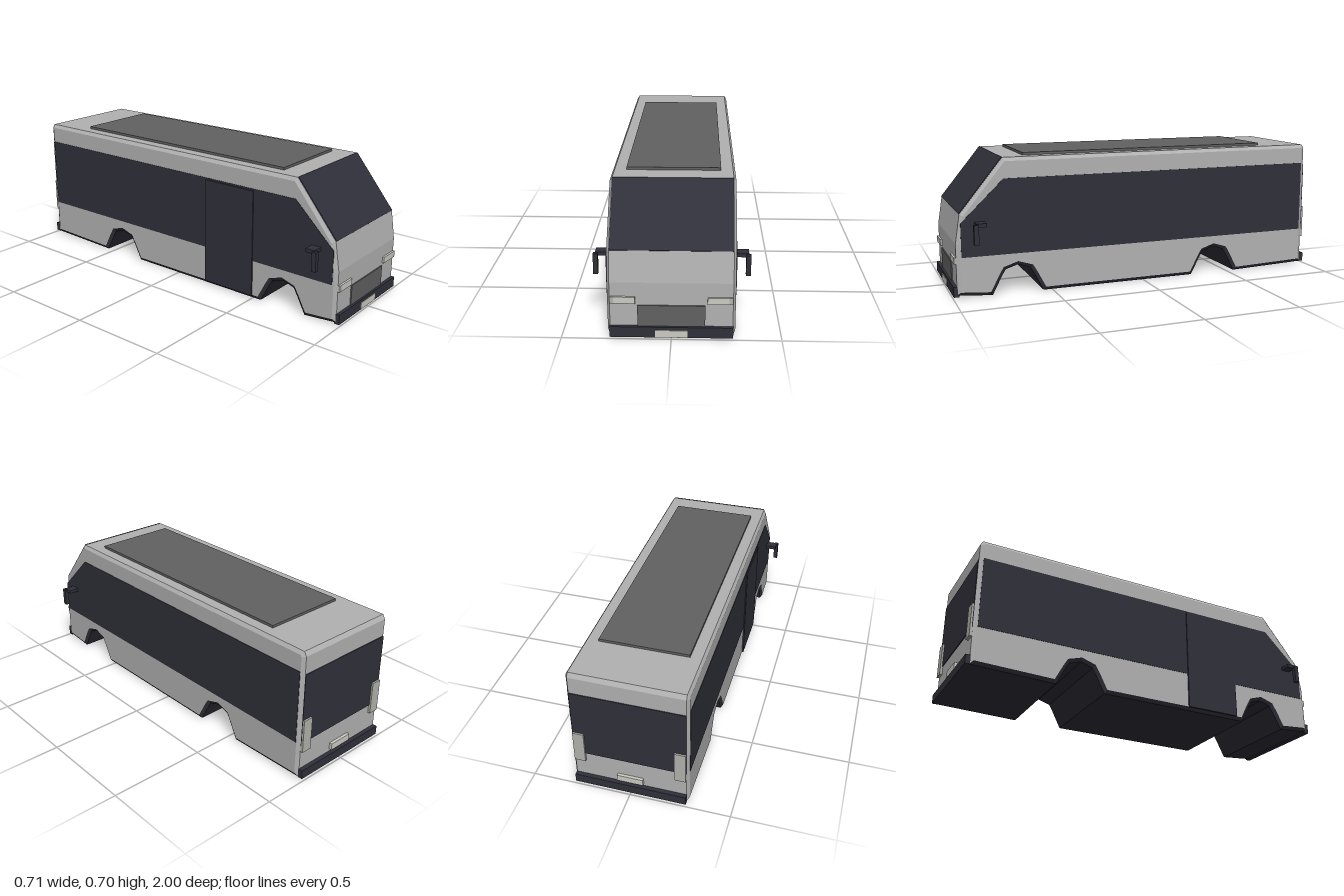
import * as THREE from 'three';

const paint = (name, color) => Object.assign(new THREE.MeshStandardMaterial({ color }), { name });

export function createModel() {
  const silver = paint('silver body', 0xb2b2b2);
  const dark = paint('dark glass and trim', 0x30303a);
  const grey = paint('grey panel', 0x616161);
  const pale = paint('pale lamp', 0xcbcbc3);
  const lampGrey = paint('grey lamp', 0xb3b3ad);

  const bus = new THREE.Group();
  bus.name = 'bus';

  const add = (name, geometry, material, parent = bus) => {
    const mesh = new THREE.Mesh(geometry, material);
    mesh.name = name;
    parent.add(mesh);
    return mesh;
  };

  // Box given by its limits on each axis
  const box = (name, material, [x0, x1], [y0, y1], [z0, z1], parent = bus) => {
    const g = new THREE.BoxGeometry(x1 - x0, y1 - y0, z1 - z0);
    g.translate((x0 + x1) / 2, (y0 + y1) / 2, (z0 + z1) / 2);
    return add(name, g, material, parent);
  };

  // Side profile of [z, y] points, extruded across x
  const profile = (points, x0, x1, bevel = {}) => {
    const shape = new THREE.Shape(points.map(([z, y]) => new THREE.Vector2(-z, y)));
    const g = new THREE.ExtrudeGeometry(shape, { depth: x1 - x0, bevelEnabled: false, ...bevel });
    return g.rotateY(Math.PI / 2).translate(x0, 0, 0);
  };

  // Body shell with open wheel arches and chamfered sides
  const arch = c => [[0.13, 0.003], [0.085, 0.09], [0.063, 0.128], [0, 0.148],
    [-0.063, 0.128], [-0.085, 0.09], [-0.13, 0.003]].map(([z, y]) => [c + z, y]);
  const outline = [
    [0.98, 0.018], ...arch(0.675), ...arch(-0.415), [-0.975, 0.015],
    [-0.975, 0.665], [-0.962, 0.687], [0.74, 0.687], [0.957, 0.42], [0.98, 0.275],
  ];
  const shell = profile(outline, -0.278, 0.278, {
    bevelEnabled: true, bevelSegments: 1, bevelThickness: 0.012, bevelSize: 0.018, bevelOffset: -0.018,
  });

  // Downward faces become the dark underside, the rest the silver body
  const pos = shell.attributes.position;
  const halves = [[], []];
  const tri = new THREE.Triangle();
  const normal = new THREE.Vector3();
  for (let i = 0; i < pos.count; i += 3) {
    tri.setFromAttributeAndIndices(pos, i, i + 1, i + 2).getNormal(normal);
    const half = halves[normal.y < -0.1 ? 1 : 0];
    for (const v of [tri.a, tri.b, tri.c]) half.push(v.x, v.y, v.z);
  }
  halves.forEach((data, i) => {
    const g = new THREE.BufferGeometry();
    g.setAttribute('position', new THREE.Float32BufferAttribute(data, 3));
    g.computeVertexNormals();
    add(i ? 'underside' : 'body', g, i ? dark : silver);
  });

  // Glazing
  const sideGlass = [[0.955, 0.208], [-0.955, 0.208], [-0.955, 0.585], [0.74, 0.585], [0.955, 0.378]];
  add('leftWindows', profile(sideGlass, 0.288, 0.292), dark);
  add('rightWindows', profile(sideGlass, -0.292, -0.288), dark);
  add('windshield', profile([[0.957, 0.42], [0.74, 0.687], [0.743, 0.6895], [0.96, 0.4225]], -0.276, 0.276), dark);
  box('rearWindow', dark, [-0.278, 0.278], [0.205, 0.575], [-0.979, -0.973]);

  // Passenger door on the right side
  box('door', dark, [-0.298, -0.285], [0.02, 0.576], [0.2, 0.5]);

  // Roof unit
  box('roofUnit', grey, [-0.222, 0.222], [0.68, 0.7], [-0.715, 0.625]);

  // Bumpers, grille and number plates
  box('frontBumper', dark, [-0.28, 0.28], [0.01, 0.062], [0.97, 0.997]);
  box('rearBumper', dark, [-0.28, 0.28], [0.015, 0.062], [-0.997, -0.97]);
  box('grille', grey, [-0.153, 0.153], [0.06, 0.165], [0.975, 0.986]);
  box('frontPlate', pale, [-0.073, 0.073], [0.012, 0.047], [0.994, 1]);
  box('rearPlate', pale, [-0.065, 0.065], [0.075, 0.11], [-0.99, -0.972]);

  // Lamps and mirrors, one set per side
  for (const [side, s] of [['left', 1], ['right', -1]]) {
    const span = (a, b) => (s > 0 ? [a, b] : [-b, -a]);
    box(side + 'Headlight', pale, span(0.163, 0.259), [0.175, 0.207], [0.975, 0.99]);
    box(side + 'Indicator', lampGrey, span(0.259, 0.277), [0.175, 0.207], [0.975, 0.99]);
    box(side + 'TailLight', lampGrey, span(0.222, 0.277), [0.16, 0.333], [-0.988, -0.972]);
    const mirror = new THREE.Group();
    mirror.name = side + 'Mirror';
    bus.add(mirror);
    box('mirrorArm', dark, span(0.28, 0.348), [0.363, 0.381], [0.838, 0.888], mirror);
    box('mirrorHead', dark, span(0.335, 0.357), [0.278, 0.376], [0.878, 0.902], mirror);
  }

  return bus;
}
